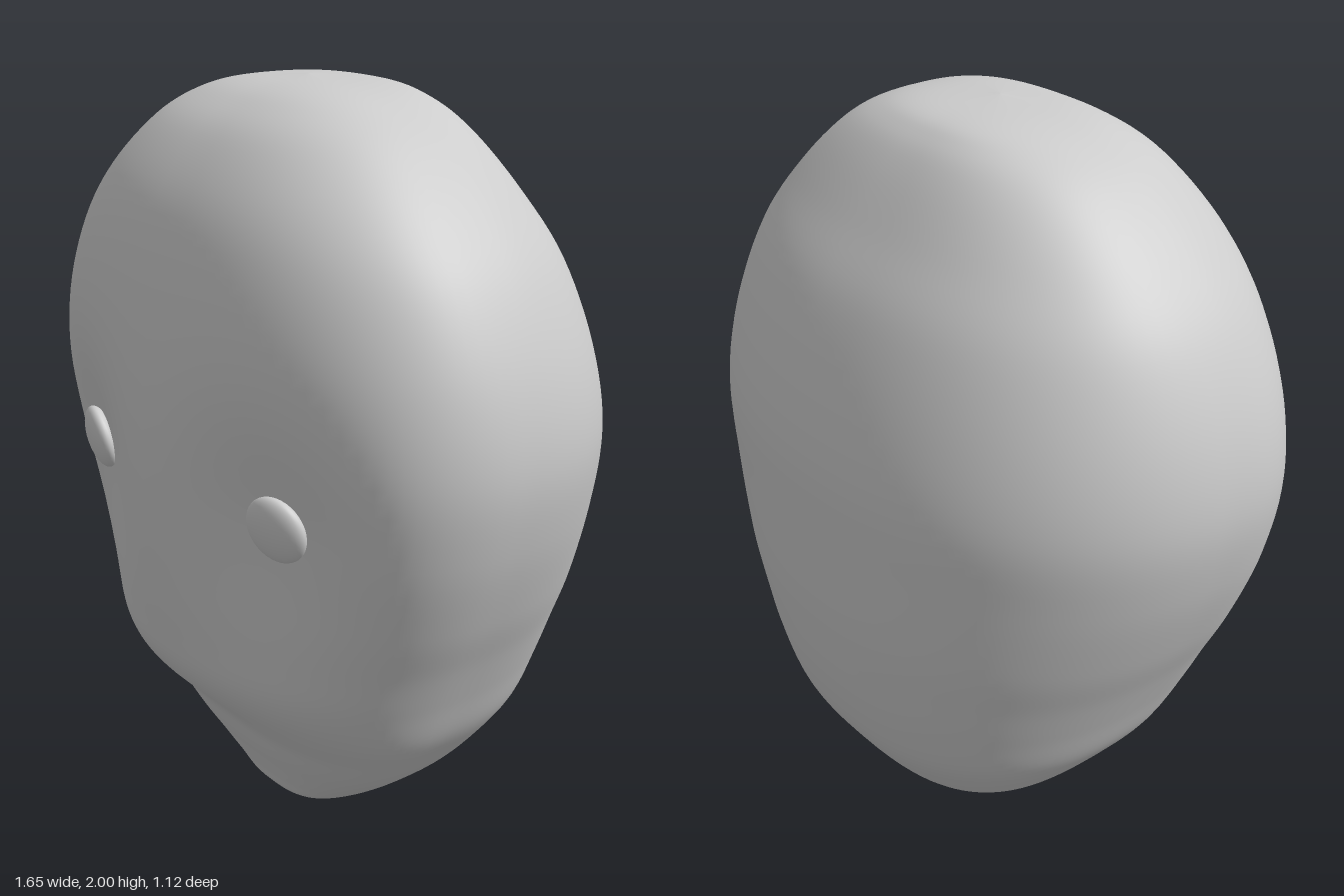
import * as THREE from 'three';

// Cross-sections from chin to crown: height, half width, front z, back z
const SECTIONS = [
  [0, 0, 0.01, 0.01], [0.015, 0.09, 0.09, -0.06], [0.06, 0.18, 0.18, -0.15], [0.12, 0.275, 0.215, -0.25],
  [0.2, 0.375, 0.262, -0.35], [0.3, 0.463, 0.34, -0.43], [0.4, 0.535, 0.43, -0.487],
  [0.53, 0.595, 0.5, -0.525], [0.65, 0.65, 0.525, -0.545],
  [0.8, 0.72, 0.545, -0.56], [1.0, 0.79, 0.56, -0.56], [1.2, 0.823, 0.56, -0.555],
  [1.4, 0.795, 0.54, -0.51], [1.6, 0.71, 0.5, -0.435], [1.75, 0.595, 0.445, -0.345],
  [1.88, 0.45, 0.355, -0.26], [1.95, 0.325, 0.265, -0.195], [1.985, 0.19, 0.175, -0.12],
  [2, 0, 0.05, 0.05],
];

const bump = (v, centre, spread) => Math.exp(-(((v - centre) / spread) ** 2));

// Lofted head: squarish ovals with eye hollows beside a central ridge, and a mouth dent
function headGeometry(rows = 108, cols = 96) {
  const curve = (f) => new THREE.CatmullRomCurve3(SECTIONS.map(f), false, 'catmullrom', 0.5);
  const front = curve(([y, w, f]) => new THREE.Vector3(w, y, f));
  const back = curve(([y, w, , b]) => new THREE.Vector3(w, y, b));
  const positions = [], index = [];
  for (let i = 0; i <= rows; i++) {
    const f = front.getPoint(i / rows), b = back.getPoint(i / rows), y = f.y;
    // Depth of the widest line, and squareness of the oval
    const mid = 0.01 + 0.07 * THREE.MathUtils.smoothstep(y, 0, 1) - 0.03 * THREE.MathUtils.smoothstep(y, 1.4, 2);
    const exponent = 2 / (2.3 + 0.35 * (y - 1.1) ** 2);
    const power = (v) => Math.sign(v) * Math.abs(v) ** exponent;
    for (let j = 0; j < cols; j++) {
      const a = (j / cols) * Math.PI * 2;
      const x = f.x * power(Math.cos(a));
      const s = power(Math.sin(a));
      let z = mid + s * (s > 0 ? f.z - mid : mid - b.z);
      if (s > 0) {
        const beside = Math.sin(Math.PI * Math.min(Math.abs(x) / 0.8, 1)) ** 2;
        const eyes = 0.085 * beside * bump(y, 1, y > 1 ? 0.27 : 0.4);
        const mouth = 0.045 * bump(x, 0, 0.45) * bump(y, 0.37, 0.1);
        z -= (eyes + mouth) * Math.min(1, s * 1.5);
      }
      positions.push(x, y, z);
      if (i < rows) {
        const k = (j + 1) % cols, p = i * cols, q = p + cols;
        index.push(p + j, q + j, p + k, p + k, q + j, q + k);
      }
    }
  }
  const geometry = new THREE.BufferGeometry();
  geometry.setAttribute('position', new THREE.Float32BufferAttribute(positions, 3));
  geometry.setIndex(index);
  geometry.computeVertexNormals();
  return geometry;
}

export function createModel() {
  const group = new THREE.Group();
  group.name = 'head';
  const grey = new THREE.MeshStandardMaterial({ color: 0xcccccc });
  grey.name = 'grey';

  const skull = new THREE.Mesh(headGeometry(), grey);
  skull.name = 'face';
  group.add(skull);

  // Flattened eyes, tipped to follow the face
  const eyeGeometry = new THREE.SphereGeometry(0.086, 32, 20);
  for (const side of [-1, 1]) {
    const eye = new THREE.Mesh(eyeGeometry, grey);
    eye.name = side > 0 ? 'leftEye' : 'rightEye';
    eye.scale.z = 0.4;
    eye.position.set(side * 0.403, 1.035, 0.45);
    eye.rotation.set(0.2, side * 0.25, 0);
    group.add(eye);
  }
  return group;
}
